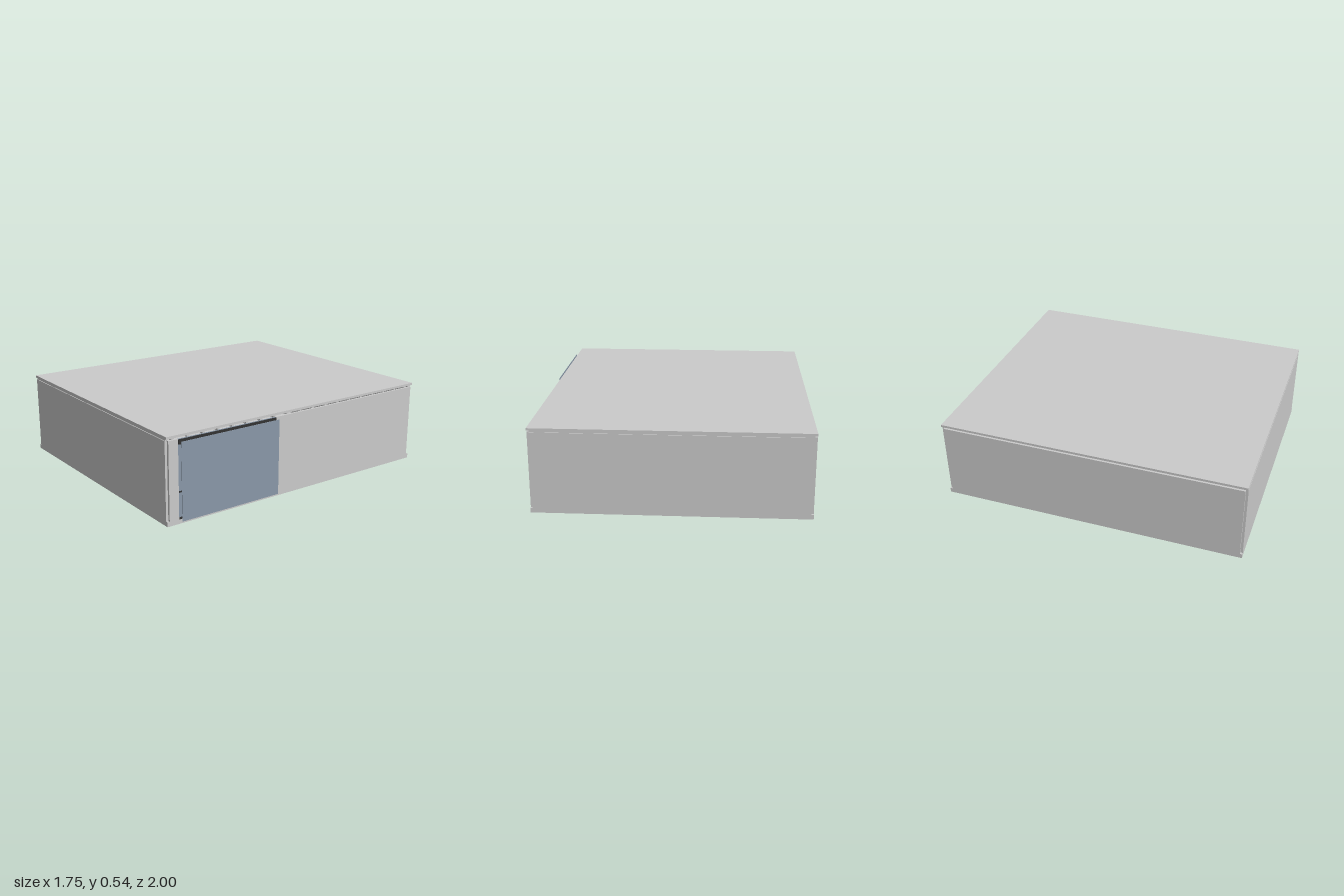
import * as THREE from 'three';

const grey = new THREE.MeshStandardMaterial({ color: 0xcccccc });
const blue = new THREE.MeshStandardMaterial({ color: 0x8a98a8 });
const dark = new THREE.MeshStandardMaterial({ color: 0x333333 });

// Box given by its minimum and maximum on each axis
function box(name, [x0, x1], [y0, y1], [z0, z1], material = grey) {
  const mesh = new THREE.Mesh(new THREE.BoxGeometry(x1 - x0, y1 - y0, z1 - z0), material);
  mesh.position.set((x0 + x1) / 2, (y0 + y1) / 2, (z0 + z1) / 2);
  mesh.name = name;
  return mesh;
}

export function createModel() {
  const model = new THREE.Group();
  model.name = 'building';

  const L = -0.875, R = 0.84, t = 0.015; // outer sides and wall thickness
  const wallY = [0.03, 0.517];
  const winZ = [0.21, 0.92];

  // Floor slab and flat roof
  model.add(box('floorSlab', [L, R], [0, 0.03], [-1, 1]));
  model.add(box('roof', [L, R], [0.528, 0.543], [-1, 1]));

  // Walls, with open notches at the corners
  model.add(box('frontWall', [L + t, R - t], wallY, [1 - t, 1]));
  model.add(box('backWall', [L + t, R - t], wallY, [-1, -1 + t]));
  model.add(box('rightWall', [L, L + t], wallY, [-1 + t, 1 - t]));
  model.add(box('leftWallRear', [R - t, R], wallY, [-1 + t, winZ[0]]));
  model.add(box('leftWallFront', [R - t, R], wallY, [winZ[1], 1 - t]));

  // Slim joists that carry the roof across the gap above the walls
  for (let i = 0; i < 19; i++) {
    const z = -0.945 + i * 0.105;
    model.add(box('roofJoist', [L + t, R - t], [0.51, 0.528], [z - 0.008, z + 0.008]));
  }
  for (const s of [-1, 1]) {
    const z = s * (1 - t);
    model.add(box('endBeam', [L + t, R - t], [0.51, 0.528], [z - 0.01, z + 0.01]));
  }

  // Glazing in the wall opening with its dark rails
  const windowGroup = new THREE.Group();
  windowGroup.name = 'window';
  windowGroup.add(box('glass', [R - 0.008, R], wallY, winZ, blue));
  for (const [y0, y1] of [[0.485, 0.515], [0.195, 0.203], [0.03, 0.042]]) {
    windowGroup.add(box('windowRail', [R - 0.01, R + 0.005], [y0, y1], winZ, dark));
  }
  model.add(windowGroup);

  // Thin screen standing off the wall in front of the window
  model.add(box('outerScreen', [0.872, 0.875], [0.027, 0.51], [winZ[0], winZ[1]], blue));

  return model;
}
